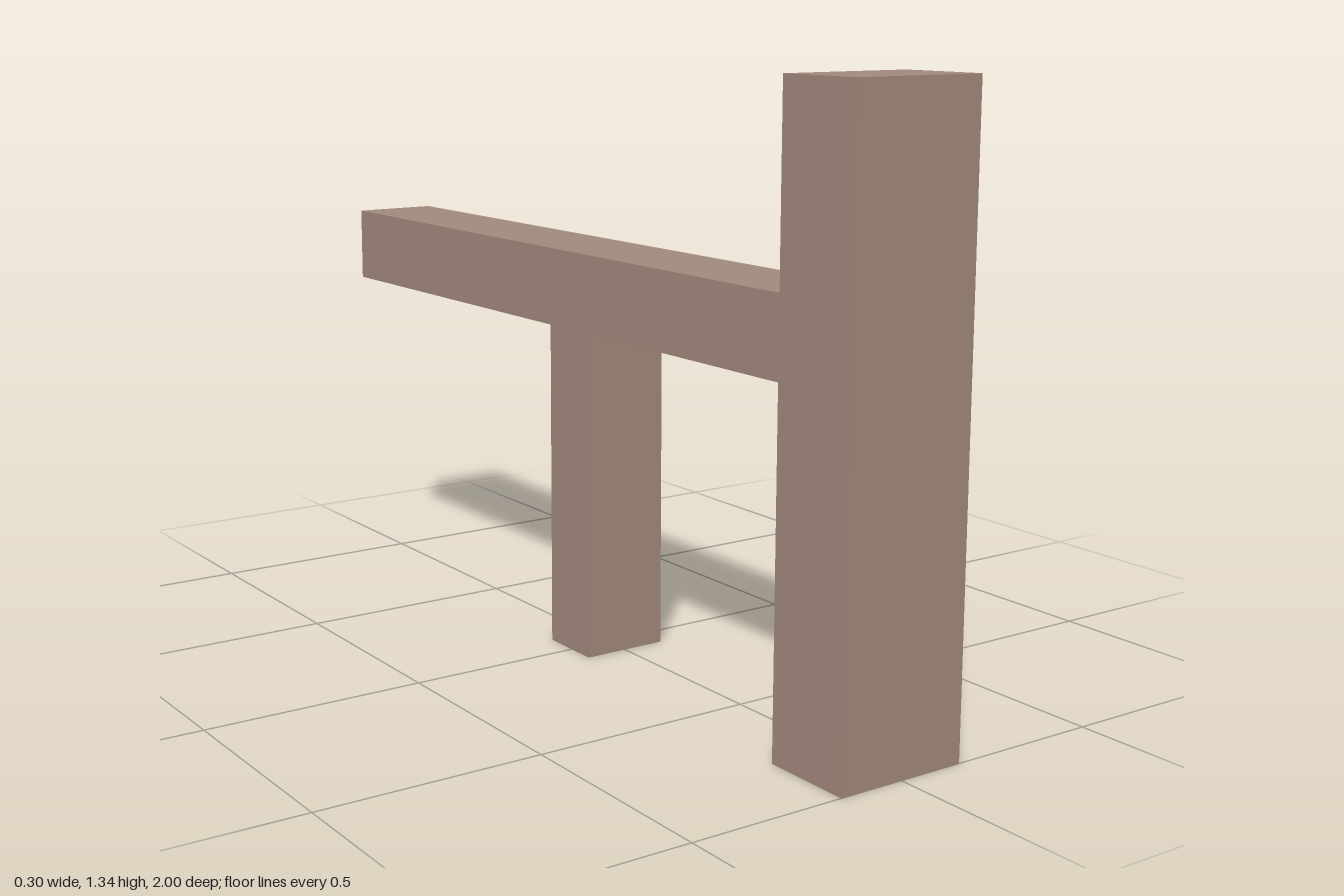
import * as THREE from 'three';

export function createModel() {
  const model = new THREE.Group();
  const wood = new THREE.MeshStandardMaterial({ color: 0xa1887b });
  wood.name = 'brown wood';

  // Box spanning the given limits, centred on x = 0
  const block = (name, width, y0, y1, z0, z1) => {
    const mesh = new THREE.Mesh(new THREE.BoxGeometry(width, y1 - y0, z1 - z0), wood);
    mesh.name = name;
    mesh.position.set(0, (y0 + y1) / 2, (z0 + z1) / 2);
    model.add(mesh);
  };

  // Tall front post, long rail behind it, and the leg under the rail
  block('frontPost', 0.304, 0, 1.34, 0.795, 1);
  block('rail', 0.2, 0.745, 0.92, -1, 0.795);
  block('supportLeg', 0.2, 0, 0.745, -0.082, 0.071);

  return model;
}
